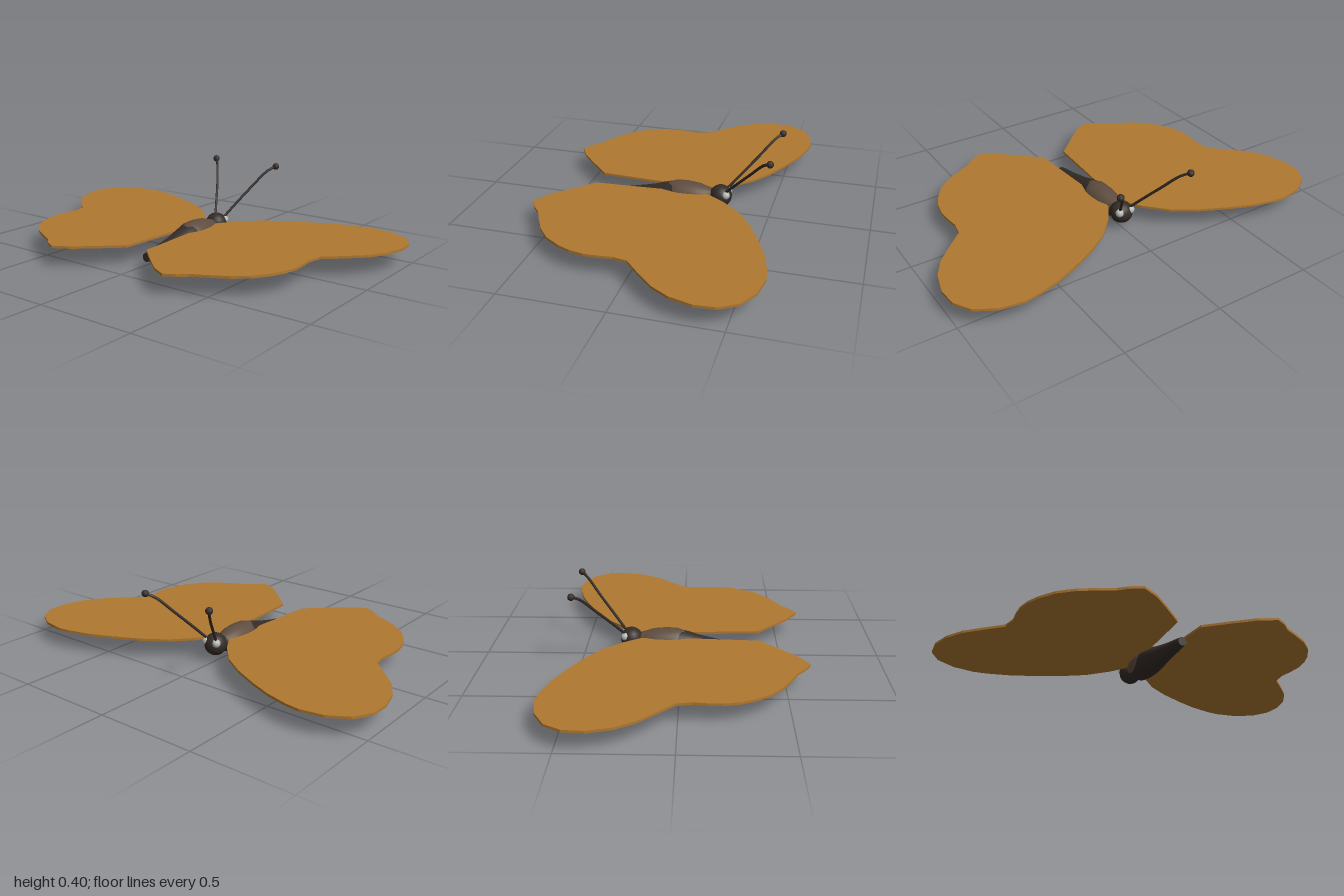
import * as THREE from 'three';
import { mergeVertices } from 'three/addons/utils/BufferGeometryUtils.js';

const mat = (color, flatShading = false) =>
  new THREE.MeshStandardMaterial({ color, flatShading, roughness: 0.8 });
const dark = mat(0x342b27), brown = mat(0x5e4c3e), wingMat = mat(0xb07830), pale = mat(0xb8bcb8);

// Skin along x from sections [x, centreY, radius, halfAngle measured from the top]
function loft(sections, sides) {
  const pos = [], index = [];
  sections.forEach(([x, cy, r, half = Math.PI], i) => {
    for (let j = 0; j <= sides; j++) {
      const a = -half + (2 * half * j) / sides;
      pos.push(x, cy + r * Math.cos(a), r * Math.sin(a));
      if (i < sections.length - 1 && j < sides) {
        const p = i * (sides + 1) + j, q = p + sides + 1;
        index.push(p, p + 1, q, p + 1, q + 1, q);
      }
    }
  });
  let g = new THREE.BufferGeometry();
  g.setAttribute('position', new THREE.Float32BufferAttribute(pos, 3));
  g.setIndex(index);
  g = mergeVertices(g, 1e-5);
  g.computeVertexNormals();
  return g;
}

// Wing outline as [x, distance from the body's centre line]
const wingOutline = [
  [0.05, 0.035], [0.2, 0.04], [0.29, 0.1], [0.39, 0.195], [0.465, 0.31], [0.53, 0.445],
  [0.575, 0.555], [0.605, 0.67], [0.613, 0.74], [0.595, 0.85], [0.54, 0.945], [0.46, 0.993],
  [0.365, 1.0], [0.255, 0.97], [0.165, 0.915], [0.08, 0.83], [0.01, 0.755], [-0.06, 0.742],
  [-0.13, 0.75], [-0.195, 0.752], [-0.265, 0.738], [-0.33, 0.71], [-0.405, 0.66],
  [-0.465, 0.59], [-0.51, 0.51], [-0.545, 0.44], [-0.585, 0.395], [-0.615, 0.34],
  [-0.57, 0.26], [-0.5, 0.18], [-0.39, 0.062], [-0.1, 0.045],
];

export function createModel() {
  const model = new THREE.Group();
  const add = (name, geometry, material, x = 0, y = 0, z = 0) => {
    const m = new THREE.Mesh(geometry, material);
    m.name = name;
    m.position.set(x, y, z);
    model.add(m);
    return m;
  };

  // Tapered body, closed at the tail
  const profile = [
    [-0.32, 0.043, 0.022], [-0.2, 0.051, 0.035], [-0.1, 0.06, 0.048], [-0.04, 0.067, 0.06],
    [0.02, 0.074, 0.069], [0.08, 0.076, 0.07], [0.14, 0.077, 0.064], [0.2, 0.081, 0.042],
    [0.24, 0.088, 0.036],
  ];
  add('body', loft(profile, 24), dark);
  add('tailEnd', new THREE.CircleGeometry(0.022, 24).rotateY(-Math.PI / 2), dark, -0.32, 0.043, 0);

  // Brown saddle lying over the thorax
  const saddle = [
    [-0.015, 0.0698, 0.0643, 0.4], [0.02, 0.074, 0.071, 1.5], [0.05, 0.075, 0.072, 1.95],
    [0.08, 0.076, 0.072, 2.15], [0.11, 0.0765, 0.069, 2.2], [0.14, 0.077, 0.066, 2.15],
    [0.175, 0.0793, 0.0535, 1.9], [0.205, 0.082, 0.043, 1.3],
  ];
  add('thorax', loft(saddle, 24), brown);

  // Head
  add('head', new THREE.SphereGeometry(0.056, 20, 14), dark, 0.255, 0.094, 0);

  // Paired parts
  for (const side of [1, -1]) {
    const prefix = side > 0 ? 'front' : 'back';

    const shape = new THREE.Shape(wingOutline.map(([x, v]) => new THREE.Vector2(x, -side * v)));
    const wing = new THREE.ExtrudeGeometry(shape, { depth: 0.012, bevelEnabled: false });
    add(prefix + 'Wing', wing.rotateX(-Math.PI / 2), wingMat, 0, 0.098, 0);

    add(prefix + 'Eye', new THREE.SphereGeometry(0.021, 14, 10), pale, 0.286, 0.112, side * 0.031);

    const path = new THREE.CatmullRomCurve3([
      [0.275, 0.115, 0.022], [0.34, 0.19, 0.062], [0.42, 0.28, 0.113],
      [0.49, 0.36, 0.165], [0.524, 0.382, 0.196],
    ].map(([x, y, z]) => new THREE.Vector3(x, y, side * z)));
    add(prefix + 'Antenna', new THREE.TubeGeometry(path, 16, 0.007, 6), dark);
    add(prefix + 'AntennaTip', new THREE.IcosahedronGeometry(0.018, 1), dark, 0.524, 0.382, side * 0.196);
  }
  return model;
}
